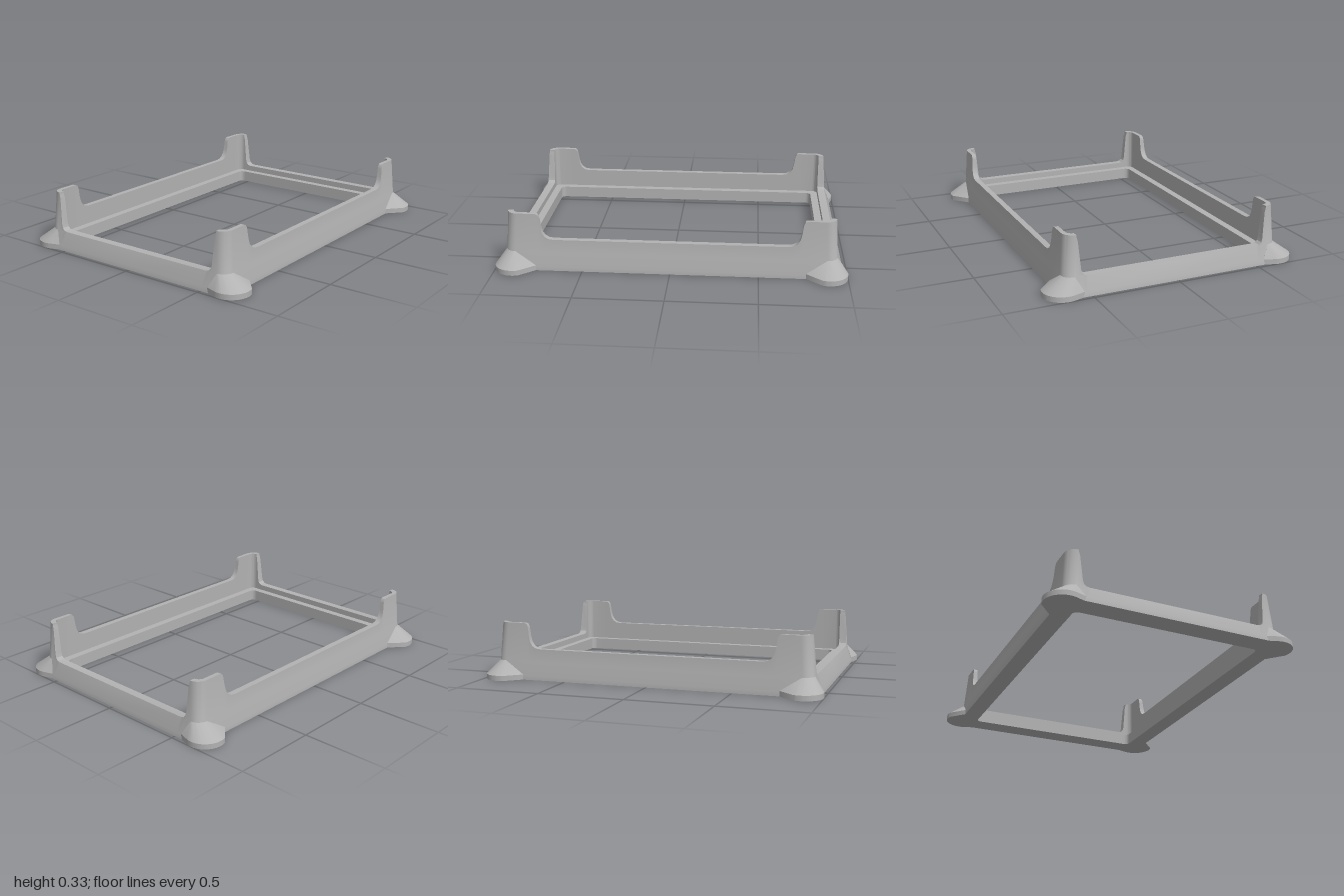
import * as THREE from 'three';
import { toCreasedNormals } from 'three/addons/utils/BufferGeometryUtils.js';
import { ConvexGeometry } from 'three/addons/geometries/ConvexGeometry.js';

const BREAK = 0.105; // height where the sloped skirt meets the upright wall
const LEDGE = 0.07;

// Cross-section rings for a wall of height h: [half width, half depth, corner radius, y]
function section(h) {
  const lean = 0.015 * (h - BREAK) / 0.225;
  return [
    [0.56, 0.85, 0.03, 0],
    [0.665, 0.978, 0.07, 0],
    [0.665, 0.975, 0.07, 0.025],
    [0.645, 0.942, 0.06, BREAK],
    [0.645 - lean, 0.942 - lean, 0.06, h],
    [0.605, 0.895, 0.035, h],
    [0.605, 0.895, 0.035, LEDGE],
    [0.56, 0.85, 0.03, LEDGE],
  ];
}

// One quarter of the frame: wall height along the front, round the corner, along the side
function quarterStations() {
  const front = [[0, 0.105], [0.51, 0.105], [0.53, 0.109], [0.544, 0.122], [0.55, 0.145],
    [0.563, 0.295], [0.568, 0.314], [0.576, 0.326], [0.588, 0.33]];
  const side = [[0.765, 0.33], [0.753, 0.326], [0.745, 0.314], [0.742, 0.3], [0.735, 0.25],
    [0.727, 0.22], [0.712, 0.197], [0.69, 0.184], [0.66, 0.18], [0, 0.18]];
  const list = [];
  for (const [x, h] of front) {
    list.push(section(h).map(([w, d, r, y]) => [Math.min(x, w - r), y, d]));
  }
  for (let i = 0; i <= 10; i++) {
    const a = (i / 10) * Math.PI / 2;
    list.push(section(0.33).map(([w, d, r, y]) =>
      [w - r + r * Math.sin(a), y, d - r + r * Math.cos(a)]));
  }
  for (const [z, h] of side) {
    list.push(section(h).map(([w, d, r, y]) => [w, y, Math.min(z, d - r)]));
  }
  return list;
}

function frameGeometry() {
  const quarter = quarterStations();
  const mirror = (list, sx, sz) => list.map(s => s.map(([x, y, z]) => [x * sx, y, z * sz]));
  const back = [...quarter].reverse();
  const loop = [...quarter, ...mirror(back, 1, -1), ...mirror(quarter, -1, -1), ...mirror(back, -1, 1)];
  const n = loop[0].length;
  const positions = loop.flat(2);
  const index = [];
  for (let i = 0; i < loop.length; i++) {
    const k = (i + 1) % loop.length;
    for (let j = 0; j < n; j++) {
      const m = (j + 1) % n;
      index.push(i * n + j, k * n + j, k * n + m, i * n + j, k * n + m, i * n + m);
    }
  }
  const geo = new THREE.BufferGeometry();
  geo.setAttribute('position', new THREE.Float32BufferAttribute(positions, 3));
  geo.setIndex(index);
  return toCreasedNormals(geo, 0.5);
}

// Flared foot: a round pad blending up into the frame corner
function footGeometry(sx, sz) {
  const points = [];
  const add = (x, y, z) => points.push(new THREE.Vector3(x * sx, y, z * sz));
  for (const y of [0, 0.03]) {
    add(0.545, y, 0.975);
    add(0.662, y, 0.762);
    for (let i = 0; i <= 32; i++) {
      const a = -0.2 + (i / 32) * (Math.PI / 2 + 0.65);
      add(0.64 + 0.11 * Math.sin(a - 0.1), y, 0.89 + 0.11 * Math.cos(a - 0.1));
    }
  }
  for (let i = 0; i <= 12; i++) {
    const a = (i / 12) * Math.PI / 2;
    add(0.585 + 0.06 * Math.sin(a), BREAK, 0.882 + 0.06 * Math.cos(a));
  }
  return toCreasedNormals(new ConvexGeometry(points), 0.5);
}

export function createModel() {
  const model = new THREE.Group();
  model.name = 'cornerPostFrame';
  const grey = new THREE.MeshStandardMaterial({ color: 0xb2b2b2 });
  grey.name = 'lightGrey';

  const frame = new THREE.Mesh(frameGeometry(), grey);
  frame.name = 'frameWithCornerPosts';
  model.add(frame);

  for (const sx of [1, -1]) {
    for (const sz of [1, -1]) {
      const foot = new THREE.Mesh(footGeometry(sx, sz), grey);
      foot.name = (sz > 0 ? 'front' : 'back') + (sx > 0 ? 'Left' : 'Right') + 'Foot';
      model.add(foot);
    }
  }
  return model;
}
